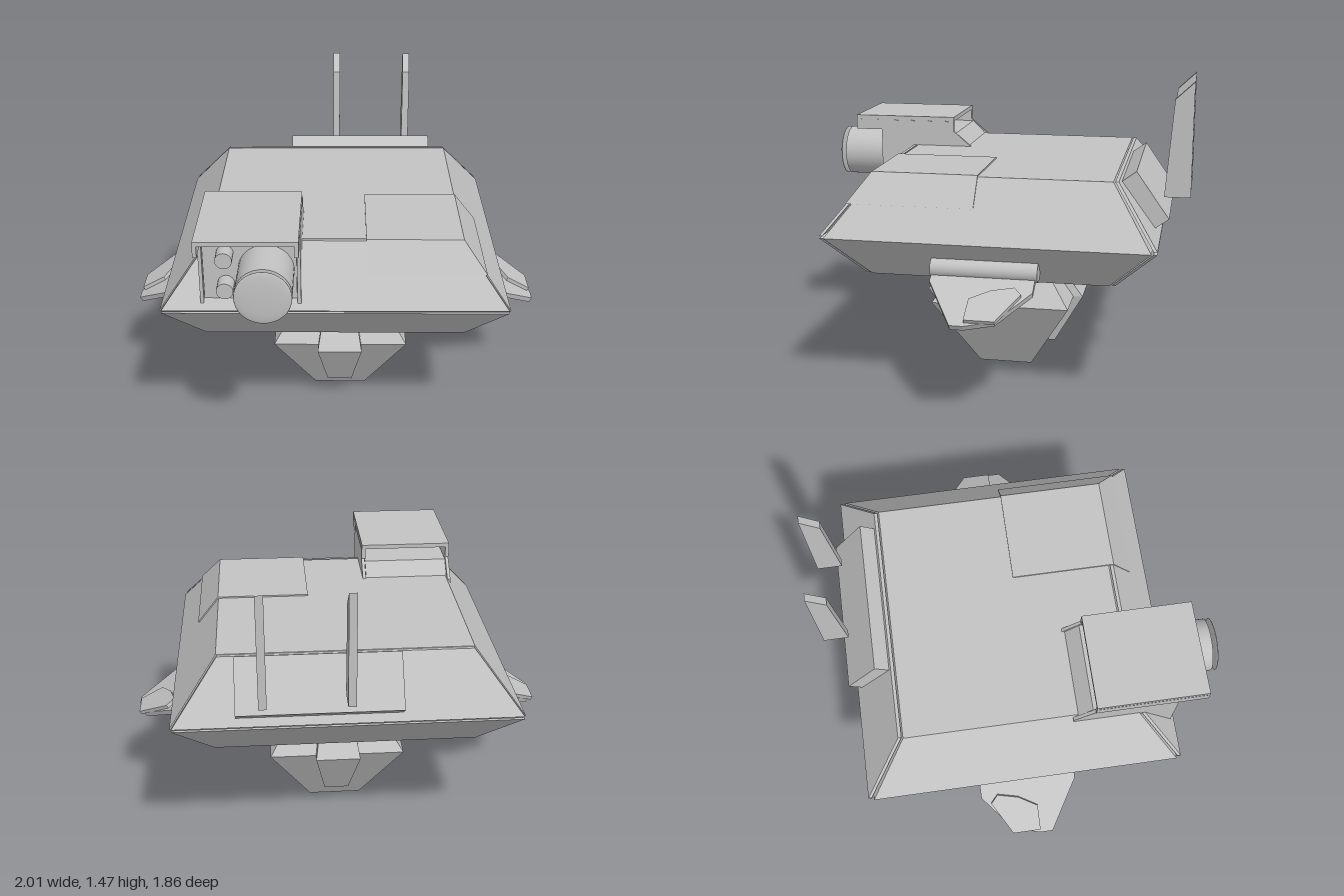
import * as THREE from 'three';

const grey = new THREE.MeshStandardMaterial({ color: 0xc2c2c2 });
grey.name = 'hull grey';

// Solid through rectangular sections [y, x0, x1, z0, z1], listed from bottom to top
function loft(sections) {
  const pos = [];
  const rings = sections.map(([y, x0, x1, z0, z1]) =>
    [[x0, y, z1], [x1, y, z1], [x1, y, z0], [x0, y, z0]]);
  const quad = (a, b, c, d) => pos.push(...a, ...b, ...c, ...a, ...c, ...d);
  for (let i = 0; i + 1 < rings.length; i++) {
    for (let j = 0; j < 4; j++) {
      const k = (j + 1) % 4;
      quad(rings[i][j], rings[i][k], rings[i + 1][k], rings[i + 1][j]);
    }
  }
  quad(...rings[rings.length - 1]);
  quad(...rings[0].slice().reverse());
  const g = new THREE.BufferGeometry();
  g.setAttribute('position', new THREE.Float32BufferAttribute(pos, 3));
  g.computeVertexNormals();
  return g;
}

function extrude(points, depth) {
  const shape = new THREE.Shape(points.map(([a, b]) => new THREE.Vector2(a, b)));
  return new THREE.ExtrudeGeometry(shape, { depth, bevelEnabled: false });
}

// Side profile of [z, y] points swept from x0 to x1
const sweepX = (points, x0, x1) =>
  extrude(points, x1 - x0).rotateY(-Math.PI / 2).translate(x1, 0, 0);

const box = (x0, x1, y0, y1, z0, z1) =>
  new THREE.BoxGeometry(x1 - x0, y1 - y0, z1 - z0)
    .translate((x0 + x1) / 2, (y0 + y1) / 2, (z0 + z1) / 2);

// Cylinder along z
const rodZ = (x, y, r, z0, z1, n = 32) =>
  new THREE.CylinderGeometry(r, r, z1 - z0, n).rotateX(Math.PI / 2)
    .translate(x, y, (z0 + z1) / 2);

export function createModel() {
  const model = new THREE.Group();
  model.name = 'hoveringTurret';
  const add = (name, geometry, parent = model) => {
    const m = new THREE.Mesh(geometry, grey);
    m.name = name;
    parent.add(m);
    return m;
  };

  // Main hull, with separate slanted plates on the front and back
  add('hull', loft([
    [0.575, -0.61, 0.61, -0.585, 0.515],
    [0.78, -0.79, 0.79, -0.775, 0.685],
    [1.045, -0.58, 0.58, -0.59, 0.49],
  ]));
  add('frontUpperPlate', loft([[0.79, -0.78, 0.78, 0.69, 0.706], [1.045, -0.575, 0.575, 0.497, 0.513]]));
  add('frontLowerPlate', loft([[0.577, -0.605, 0.605, 0.525, 0.541], [0.778, -0.78, 0.78, 0.69, 0.706]]));
  add('backUpperPlate', loft([[0.79, -0.78, 0.78, -0.8, -0.784], [1.045, -0.575, 0.575, -0.613, -0.597]]));
  add('backLowerPlate', loft([[0.577, -0.605, 0.605, -0.611, -0.595], [0.778, -0.78, 0.78, -0.8, -0.784]]));

  // Hatch wrapped over the front left corner
  add('cornerHatch', loft([[0.92, 0.14, 0.686, 0.02, 0.61], [1.052, 0.14, 0.582, 0.02, 0.515]]));

  // Neck rings
  add('neck', new THREE.CylinderGeometry(0.165, 0.165, 0.1, 32).translate(0.02, 0.54, -0.02));
  for (const y of [0.515, 0.537, 0.559]) {
    add('neckRing', new THREE.CylinderGeometry(0.19, 0.19, 0.013, 32).translate(0.02, y, -0.02));
  }

  // Lower pod with a folded plate on its front and back
  add('lowerPod', loft([
    [0, -0.105, 0.15, -0.16, 0.1],
    [0.358, -0.305, 0.35, -0.367, 0.303],
    [0.5, -0.205, 0.25, -0.26, 0.2],
  ]));
  const fin = [[0.105, 0.06, 0.2, 0.25], [0.358, 0.108, 0.345, 0.393], [0.507, 0.08, 0.235, 0.275]];
  for (const s of [1, -1]) {
    add(s > 0 ? 'podFrontPlate' : 'podBackPlate', loft(fin.map(([y, w, a, b]) => {
      const z = [-0.02 + s * a, -0.02 + s * b].sort((p, q) => p - q);
      return [y, 0.02 - w, 0.02 + w, ...z];
    })));
  }

  // Hinged side wings
  const wing = [[0.02, 0.2], [0.06, 0.2], [0.315, 0.06], [0.315, 0], [0.28, -0.13], [0.1, -0.27], [0.02, -0.27]];
  const pad = [[0.09, -0.19], [0.13, -0.225], [0.295, -0.135], [0.295, 0], [0.17, 0], [0.115, -0.09]];
  for (const s of [1, -1]) {
    const g = new THREE.Group();
    g.name = s > 0 ? 'leftWing' : 'rightWing';
    g.position.set(s * 0.72, 0.625, 0);
    g.rotation.z = -0.5 * s;
    const plate = (pts, y, t) =>
      extrude(pts.map(([u, z]) => [u * s, -z]), t).rotateX(-Math.PI / 2).translate(0, y, 0);
    add('wingPlate', plate(wing, -0.012, 0.026), g);
    add('wingRaisedPanel', plate(pad, 0.014, 0.018), g);
    model.add(g);
    add('wingHinge', rodZ(s * 0.71, 0.65, 0.045, -0.28, 0.205, 24));
  }

  // Camera housing: body, side cheeks and hood
  const body = [[0.67, 0.82], [0.67, 1.11], [0.29, 1.11], [0.22, 1.04], [0.22, 0.82]];
  const cheek = [[0.685, 0.81], [0.685, 1.12], [0.67, 1.17], [0.3, 1.17], [0.3, 1.12], [0.2, 1.035], [0.2, 0.81]];
  add('cameraBody', sweepX(body, -0.585, -0.17));
  add('cameraRightCheek', sweepX(cheek, -0.603, -0.587));
  add('cameraLeftCheek', sweepX(cheek, -0.168, -0.152));
  add('hoodTop', box(-0.605, -0.155, 1.172, 1.193, 0.3, 0.82));
  add('hoodRightSide', box(-0.606, -0.588, 1.12, 1.172, 0.3, 0.82));
  add('hoodLeftSide', box(-0.172, -0.154, 1.12, 1.172, 0.3, 0.82));

  // Lenses
  add('mainLensBarrel', rodZ(-0.305, 0.98, 0.125, 0.66, 0.895, 40));
  add('mainLensGlass', new THREE.SphereGeometry(0.125, 40, 16).scale(1, 1, 0.1).translate(-0.305, 0.98, 0.918));
  for (const y of [1.065, 0.915]) add('smallLens', rodZ(-0.485, y, 0.038, 0.66, 0.75, 24));

  // Back mounting block and two upright antennas
  add('antennaMount', sweepX([[-0.59, 1.01], [-0.685, 1.08], [-0.835, 0.867], [-0.75, 0.805]], -0.24, 0.5));
  const blade = [[-0.805, 0.945], [-0.84, 1.39], [-0.925, 1.47], [-0.925, 0.945]];
  for (const x of [0, 0.38]) add('antenna', sweepX(blade, x - 0.018, x + 0.018));

  return model;
}
